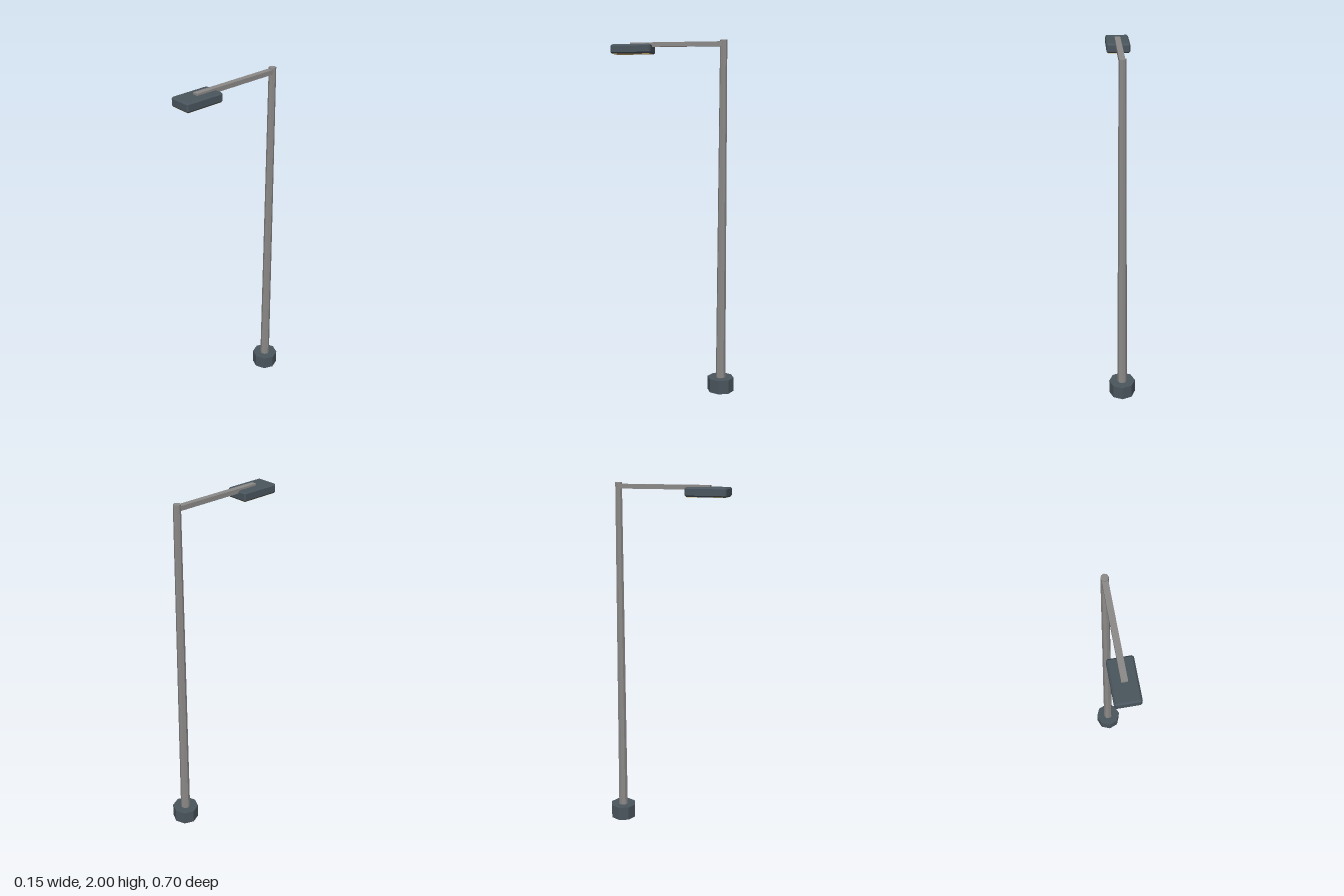
import * as THREE from 'three';
import { ConvexGeometry } from 'three/addons/geometries/ConvexGeometry.js';

const POLE_Z = -0.277;

function material(name, color) {
  const m = new THREE.MeshStandardMaterial({ color, flatShading: true });
  m.name = name;
  return m;
}

// Box with every edge cut flat by c
function chamferedBox(w, h, d, c) {
  const points = [];
  const [x, y, z] = [w / 2, h / 2, d / 2];
  for (const sx of [-1, 1]) for (const sy of [-1, 1]) for (const sz of [-1, 1]) {
    points.push(
      new THREE.Vector3(sx * x, sy * (y - c), sz * (z - c)),
      new THREE.Vector3(sx * (x - c), sy * y, sz * (z - c)),
      new THREE.Vector3(sx * (x - c), sy * (y - c), sz * z));
  }
  return new ConvexGeometry(points);
}

export function createModel() {
  const group = new THREE.Group();
  group.name = 'streetLamp';
  const steel = material('greySteel', 0x8c8a88);
  const dark = material('darkSlate', 0x4a555d);
  const glow = material('warmLamp', 0xdcba72);

  const add = (name, geometry, mat, x, y, z) => {
    const mesh = new THREE.Mesh(geometry, mat);
    mesh.name = name;
    mesh.position.set(x, y, z);
    group.add(mesh);
  };

  // Octagonal foot and tapered pole
  add('base', new THREE.CylinderGeometry(0.076, 0.076, 0.08, 8), dark, 0, 0.04, POLE_Z);
  add('pole', new THREE.CylinderGeometry(0.02, 0.028, 1.96, 8), steel, 0, 1.02, POLE_Z);

  // Arm from the pole axis to the middle of the lamp head
  add('arm', new THREE.BoxGeometry(0.031, 0.025, 0.525), steel, 0, 1.979, -0.0145);

  // Lamp head with a glowing panel underneath
  add('lampHead', chamferedBox(0.128, 0.051, 0.229, 0.008), dark, 0, 1.9555, 0.2355);
  add('lampPanel', new THREE.BoxGeometry(0.112, 0.004, 0.213), glow, 0, 1.931, 0.2355);

  return group;
}
